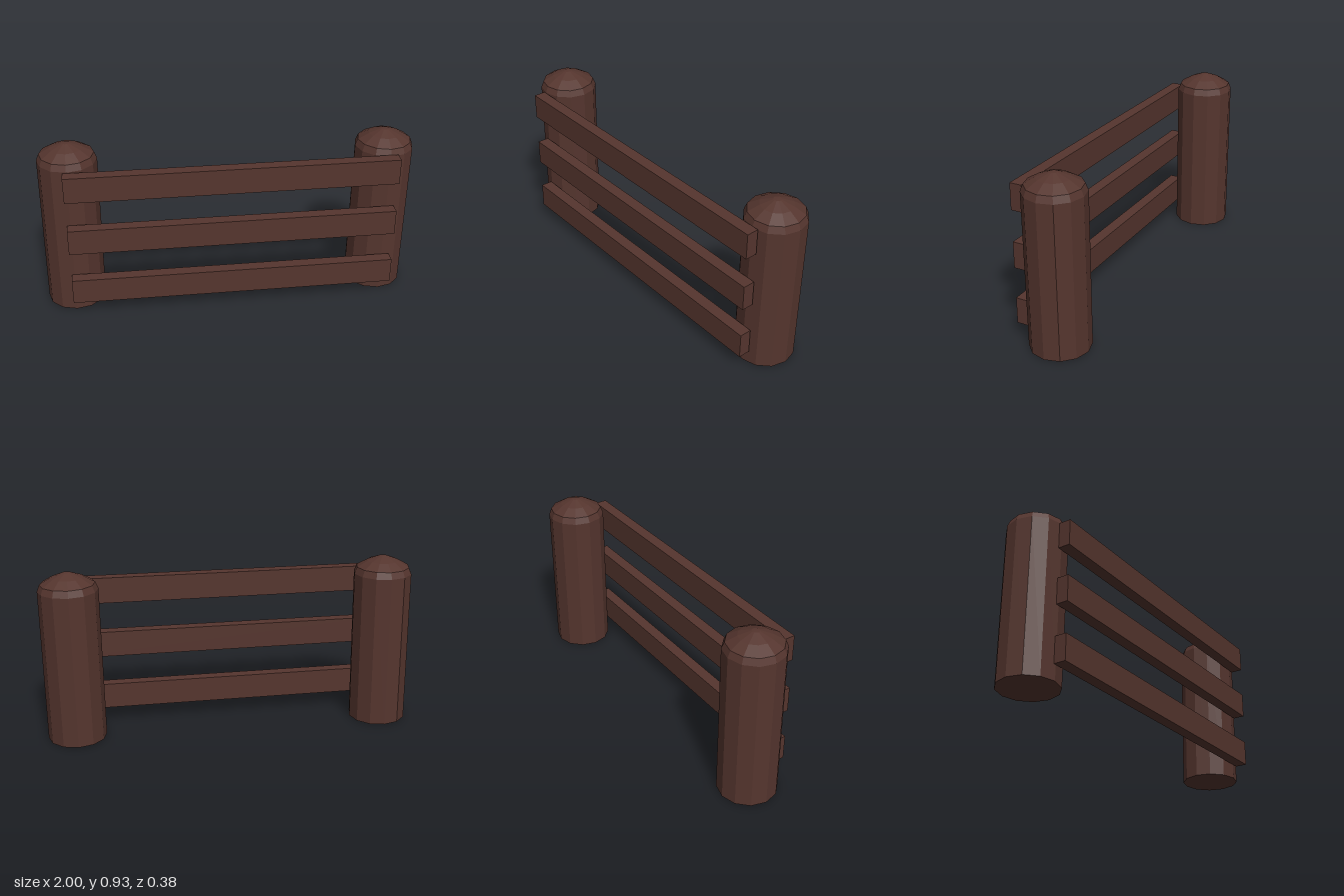
import * as THREE from 'three';

export function createModel() {
  const group = new THREE.Group();
  const wood = new THREE.MeshStandardMaterial({ color: 0x55352e, flatShading: true });

  // Round posts with a faceted domed top, leaning very slightly
  const addPost = (name, x, shoulder) => {
    const profile = [
      [0, 0], [0.156, 0], [0.156, shoulder], [0.142, shoulder + 0.035],
      [0.085, shoulder + 0.068], [0.02, shoulder + 0.093], [0, shoulder + 0.094],
    ].map(([r, y]) => new THREE.Vector2(r, y));
    const post = new THREE.Mesh(new THREE.LatheGeometry(profile, 12), wood);
    post.name = name;
    post.position.set(x, 0.001, -0.031);
    post.rotation.z = -0.01;
    group.add(post);
  };
  addPost('rightPost', -0.844, 0.833);
  addPost('leftPost', 0.834, 0.82);

  // Three flat rails fixed to the front of the posts
  ['lowerRail', 'middleRail', 'upperRail'].forEach((name, i) => {
    const rail = new THREE.Mesh(new THREE.BoxGeometry(1.735, 0.139, 0.064), wood);
    rail.name = name;
    rail.position.set(0.012, 0.152 + i * 0.304, 0.156);
    group.add(rail);
  });

  return group;
}
